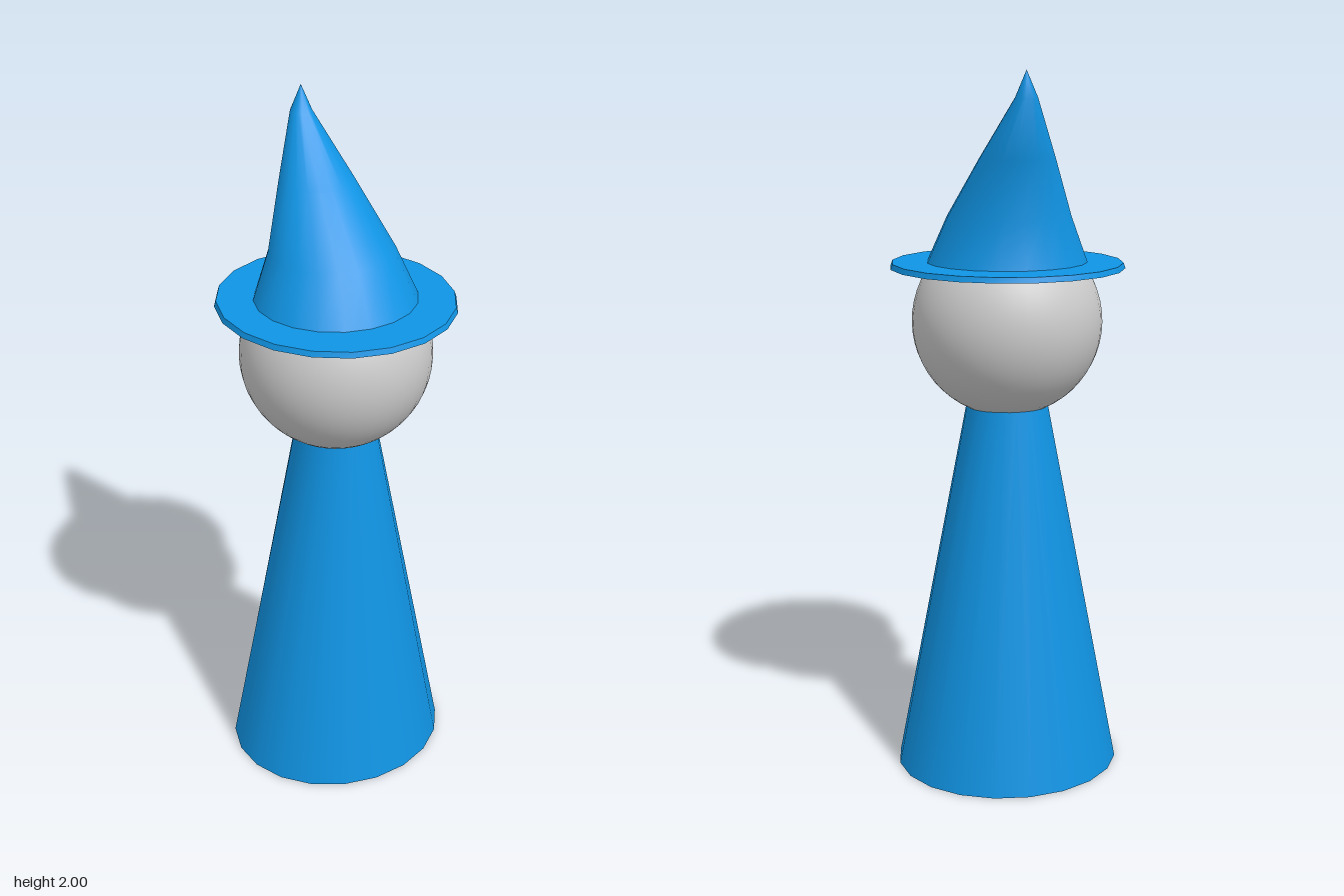
import * as THREE from 'three';
import { toCreasedNormals } from 'three/addons/utils/BufferGeometryUtils.js';

const SIDES = 20;

// Skin a run of elliptical rings [y, centreZ, radiusX, radiusZ]; outer walls run upwards.
function loft(rings, crease) {
  const positions = [];
  const index = [];
  for (const [y, cz, rx, rz] of rings) {
    for (let j = 0; j < SIDES; j++) {
      const a = (j / SIDES) * Math.PI * 2;
      positions.push(rx * Math.sin(a), y, cz + rz * Math.cos(a));
    }
  }
  for (let i = 0; i < rings.length - 1; i++) {
    for (let j = 0; j < SIDES; j++) {
      const k = (j + 1) % SIDES;
      const a = i * SIDES + j, b = i * SIDES + k;
      const c = a + SIDES, d = b + SIDES;
      if (rings[i][2] > 0) index.push(a, b, d);
      if (rings[i + 1][2] > 0) index.push(a, d, c);
    }
  }
  const geometry = new THREE.BufferGeometry();
  geometry.setAttribute('position', new THREE.Float32BufferAttribute(positions, 3));
  geometry.setIndex(index);
  return toCreasedNormals(geometry, crease);
}

export function createModel() {
  const model = new THREE.Group();
  const blue = new THREE.MeshStandardMaterial({ color: 0x1094e4 });
  const grey = new THREE.MeshStandardMaterial({ color: 0xcccccc });

  const add = (name, geometry, material, parent = model) => {
    const mesh = new THREE.Mesh(geometry, material);
    mesh.name = name;
    parent.add(mesh);
    return mesh;
  };

  // Hollow robe: down the inside, across the hem, up the outside, across the neck
  add('robe', loft([
    [1.08, 0, 0.08, 0.085],
    [0, 0, 0.27, 0.245],
    [0, 0, 0.325, 0.295],
    [1.08, 0, 0.115, 0.122],
    [1.08, 0, 0.08, 0.085],
  ], 0.7), blue);

  // Head
  add('head', new THREE.SphereGeometry(0.267, 40, 28), grey).position.y = 1.315;

  // Hat
  const hat = new THREE.Group();
  hat.name = 'hat';
  model.add(hat);

  // Flat brim with a hole for the head
  add('hatBrim', loft([
    [1.482, 0, 0.205, 0.205],
    [1.467, 0, 0.205, 0.205],
    [1.467, 0, 0.327, 0.342],
    [1.482, 0, 0.322, 0.337],
    [1.482, 0, 0.205, 0.205],
  ], 0.7), blue, hat);

  // Crown leaning to the back, ending in a small tip
  add('hatCrown', loft([
    [1.475, 0.002, 0.227, 0.223],
    [1.61, -0.025, 0.172, 0.166],
    [1.77, -0.123, 0.103, 0.1],
    [1.93, -0.224, 0.03, 0.029],
    [2, -0.224, 0, 0],
  ], 1.0), blue, hat);

  return model;
}
